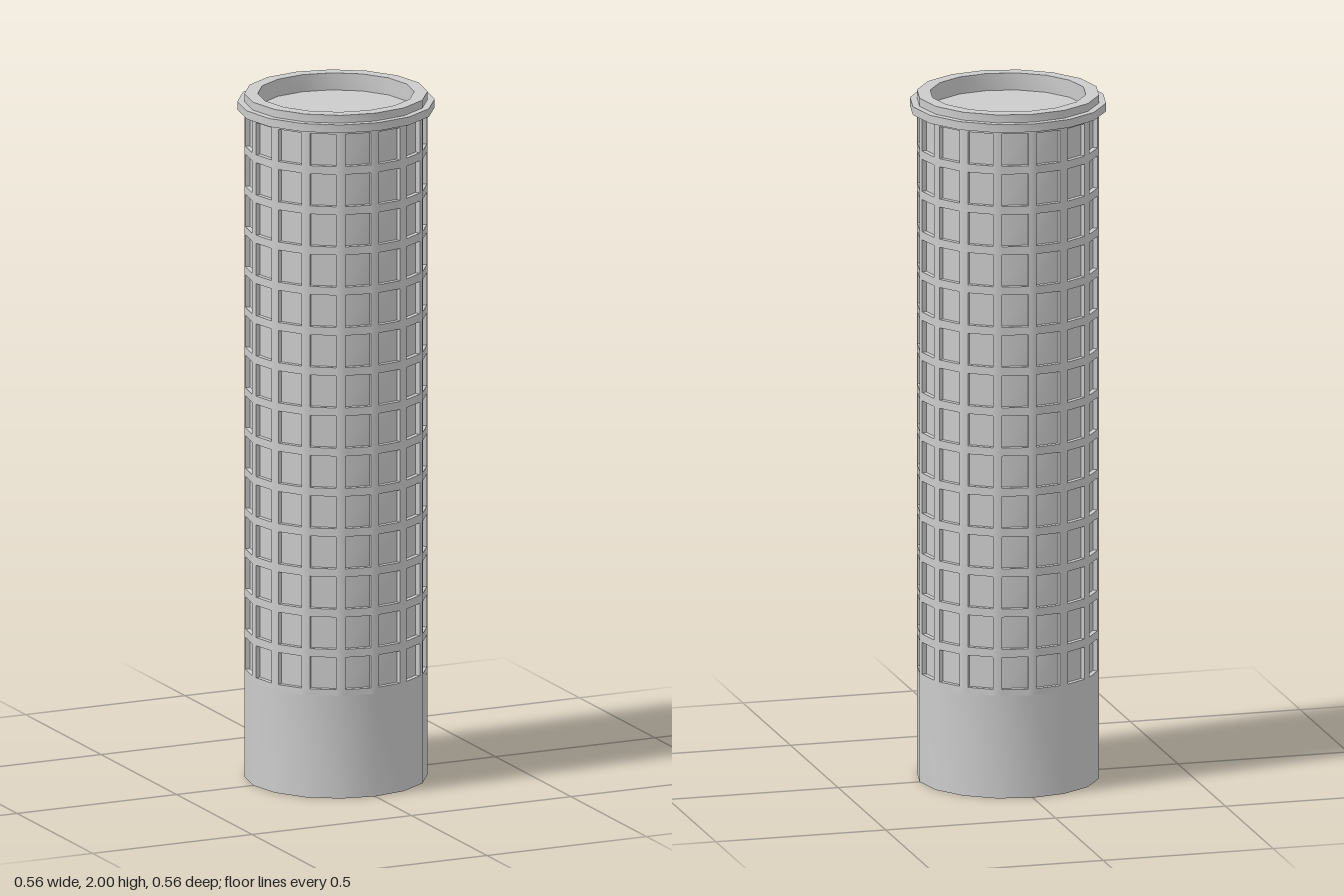
import * as THREE from 'three';
import { toCreasedNormals } from 'three/addons/utils/BufferGeometryUtils.js';

const SIDES = 16, R = 0.26;
const ROWS = 14, FIRST = 0.318, PITCH = 0.1178, WIN_H = 0.094, DEPTH = 0.014;
const FACADE_BOTTOM = 0.3, FACADE_TOP = 1.953;
const CREASE = 0.5; // keeps the 16-sided wall smooth, edges sharp

const material = new THREE.MeshStandardMaterial({ color: 0xcccccc });

function addMesh(group, name, geometry) {
  const mesh = new THREE.Mesh(toCreasedNormals(geometry, CREASE), material);
  mesh.name = name;
  group.add(mesh);
}

function lathe(profile) {
  return new THREE.LatheGeometry(profile.map(([x, y]) => new THREE.Vector2(x, y)), SIDES);
}

function geometryFromQuads(quads) {
  const pos = [];
  for (const [a, b, c, d] of quads) {
    for (const p of [a, b, c, a, c, d]) pos.push(p.x, p.y, p.z);
  }
  const g = new THREE.BufferGeometry();
  g.setAttribute('position', new THREE.Float32BufferAttribute(pos, 3));
  return g;
}

export function createModel() {
  const tower = new THREE.Group();
  tower.name = 'tower';

  // Plain ground storey with closed underside
  addMesh(tower, 'base', lathe([[0, 0], [R, 0], [R, FACADE_BOTTOM]]));

  // Wall grid with one recessed window per facet and row
  const us = [0, 0.125, 0.86, 1];
  const vs = [FACADE_BOTTOM];
  for (let i = 0; i < ROWS; i++) vs.push(FIRST + i * PITCH, FIRST + i * PITCH + WIN_H);
  vs.push(FACADE_TOP);

  const wall = [], reveals = [], panes = [];
  const step = (Math.PI * 2) / SIDES;
  for (let s = 0; s < SIDES; s++) {
    const corner = (k) => new THREE.Vector3(Math.sin(k * step) * R, 0, Math.cos(k * step) * R);
    const p0 = corner(s), p1 = corner((s + 1) % SIDES);
    const inward = p0.clone().add(p1).normalize().multiplyScalar(-DEPTH);
    // Mirror the window offset on alternate halves so the bars stay centred
    const mirrored = Math.floor(s / (SIDES / 4)) % 2 === 1;
    const cols = mirrored ? us.map((u) => 1 - u).reverse() : us;
    const at = (u, y) => p0.clone().lerp(p1, u).setY(y);

    for (let c = 0; c < 3; c++) {
      for (let r = 0; r < vs.length - 1; r++) {
        const quad = [
          at(cols[c], vs[r]), at(cols[c + 1], vs[r]),
          at(cols[c + 1], vs[r + 1]), at(cols[c], vs[r + 1]),
        ];
        if (c !== 1 || r % 2 === 0) {
          wall.push(quad);
          continue;
        }
        const inner = quad.map((p) => p.clone().add(inward));
        panes.push(inner);
        for (let k = 0; k < 4; k++) {
          const n = (k + 1) % 4;
          reveals.push([quad[k], quad[n], inner[n], inner[k]]);
        }
      }
    }
  }
  addMesh(tower, 'facadeGrid', geometryFromQuads(wall));
  addMesh(tower, 'windowReveals', geometryFromQuads(reveals));
  addMesh(tower, 'windowPanes', geometryFromQuads(panes));

  // Projecting cornice band
  addMesh(tower, 'cornice', lathe([[R, 1.953], [0.28, 1.953], [0.28, 1.977], [R, 1.977]]));

  // Parapet wall and sunken roof deck
  addMesh(tower, 'parapet', lathe([[R, 1.977], [R, 2], [0.222, 2], [0.222, 1.95]]));
  addMesh(tower, 'roof', lathe([[0.222, 1.95], [0, 1.95]]));

  return tower;
}
